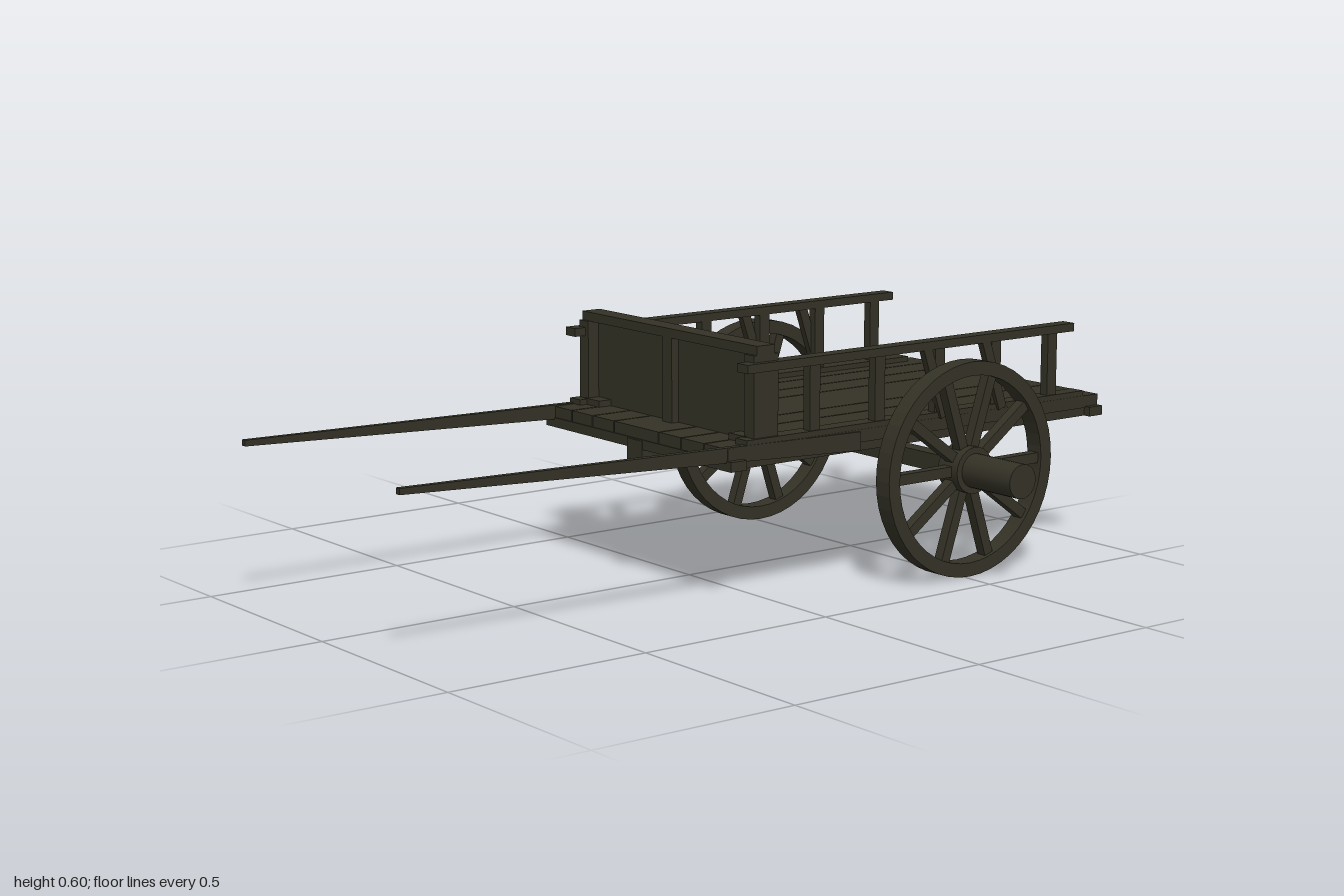
import * as THREE from 'three';

export function createModel() {
  const root = new THREE.Group();
  root.name = 'handcart';
  const wood = new THREE.MeshStandardMaterial({ color: 0x343226 });
  wood.name = 'dark wood';

  const add = (parent, name, geometry) => {
    const mesh = new THREE.Mesh(geometry, wood);
    mesh.name = name;
    parent.add(mesh);
    return mesh;
  };
  // Box given by its lower and upper limits on each axis
  const box = (name, x0, x1, y0, y1, z0, z1, parent = root) => {
    const mesh = add(parent, name, new THREE.BoxGeometry(x1 - x0, y1 - y0, z1 - z0));
    mesh.position.set((x0 + x1) / 2, (y0 + y1) / 2, (z0 + z1) / 2);
    return mesh;
  };
  // Box on both sides of the cart
  const pair = (name, x0, x1, y0, y1, z0, z1) => {
    box(name, x0, x1, y0, y1, z0, z1);
    box(name, -x1, -x0, y0, y1, z0, z1);
  };

  // Floor planks, with a broad one over the keel
  const gaps = [-0.345, -0.257, -0.172, -0.087, 0.087, 0.172, 0.257, 0.345];
  for (let i = 0; i < gaps.length - 1; i++) {
    box('floorPlank', gaps[i] + 0.002, gaps[i + 1] - 0.002, 0.345, 0.375, -0.998, 0.155);
  }

  // Underframe
  box('keel', -0.029, 0.029, 0.29, 0.345, -1, 0.16);
  box('rearCrossbeam', -0.358, 0.358, 0.325, 0.348, -1, -0.957);
  box('frontCrossbeam', -0.358, 0.358, 0.325, 0.348, 0.113, 0.158);
  pair('sideBeam', 0.3, 0.34, 0.325, 0.346, -0.96, 0.115);

  // Side fences: sill, uprights, top rail and slanting braces
  pair('sill', 0.3, 0.342, 0.374, 0.388, -0.95, 0.1);
  for (const z of [-0.1, -0.295, -0.48, -0.66, -0.845]) {
    pair('fencePost', 0.315, 0.338, 0.38, 0.545, z - 0.015, z + 0.015);
  }
  pair('topRail', 0.312, 0.35, 0.54, 0.56, -0.905, 0.105);
  for (const side of [-1, 1]) {
    for (const z of [-0.46, -0.645]) {
      const brace = add(root, 'fenceBrace', new THREE.BoxGeometry(0.018, 0.18, 0.025));
      brace.position.set(side * 0.34, 0.462, z);
      brace.rotation.x = 0.33;
    }
  }

  // Front board with posts and cap
  box('frontBoard', -0.332, 0.332, 0.375, 0.576, 0.025, 0.045);
  pair('cornerPost', 0.3, 0.335, 0.375, 0.576, 0.005, 0.075);
  box('frontMiddlePost', -0.018, 0.018, 0.375, 0.576, 0.045, 0.065);
  box('frontCap', -0.335, 0.335, 0.575, 0.597, 0.015, 0.067);
  pair('frontCleat', 0.25, 0.31, 0.375, 0.39, 0.045, 0.08);

  // Tapering pull shafts, lofted between their back and front sections
  for (const side of [-1, 1]) {
    const geometry = new THREE.BoxGeometry(1, 1, 1);
    const p = geometry.attributes.position;
    for (let i = 0; i < p.count; i++) {
      const front = p.getZ(i) > 0;
      p.setXYZ(i,
        side * (front ? 0.323 : 0.339) + p.getX(i) * (front ? 0.014 : 0.018),
        (front ? 0.387 : 0.349) + p.getY(i) * (front ? 0.014 : 0.044),
        front ? 1 : -0.23);
    }
    geometry.computeVertexNormals();
    add(root, 'pullShaft', geometry);
  }

  // Axle and spoked wheels
  const axleY = 0.257, axleZ = -0.515;
  box('axle', -0.37, 0.37, 0.238, 0.28, axleZ - 0.021, axleZ + 0.021);
  for (const side of [-1, 1]) {
    const wheel = new THREE.Group();
    wheel.name = side > 0 ? 'leftWheel' : 'rightWheel';
    wheel.position.set(side * 0.393, axleY, axleZ);
    root.add(wheel);

    const rimShape = new THREE.Shape().absarc(0, 0, 0.257, 0, Math.PI * 2, false);
    rimShape.holes.push(new THREE.Path().absarc(0, 0, 0.224, 0, Math.PI * 2, true));
    const rim = new THREE.ExtrudeGeometry(rimShape, { depth: 0.046, bevelEnabled: false, curveSegments: 24 });
    rim.translate(0, 0, -0.023).rotateY(Math.PI / 2);
    add(wheel, 'rim', rim);

    const hub = add(wheel, 'hub', new THREE.CylinderGeometry(0.056, 0.056, 0.066, 24));
    hub.rotation.z = Math.PI / 2;
    const stub = add(wheel, 'axleEnd', new THREE.CylinderGeometry(0.041, 0.041, 0.17, 24));
    stub.rotation.z = Math.PI / 2;
    stub.position.x = side * 0.109;

    for (let i = 0; i < 10; i++) {
      const spoke = new THREE.BoxGeometry(0.026, 0.025, 0.19);
      spoke.translate(0, 0, 0.135).rotateX(i * Math.PI / 5);
      add(wheel, 'spoke', spoke);
    }
  }
  return root;
}
